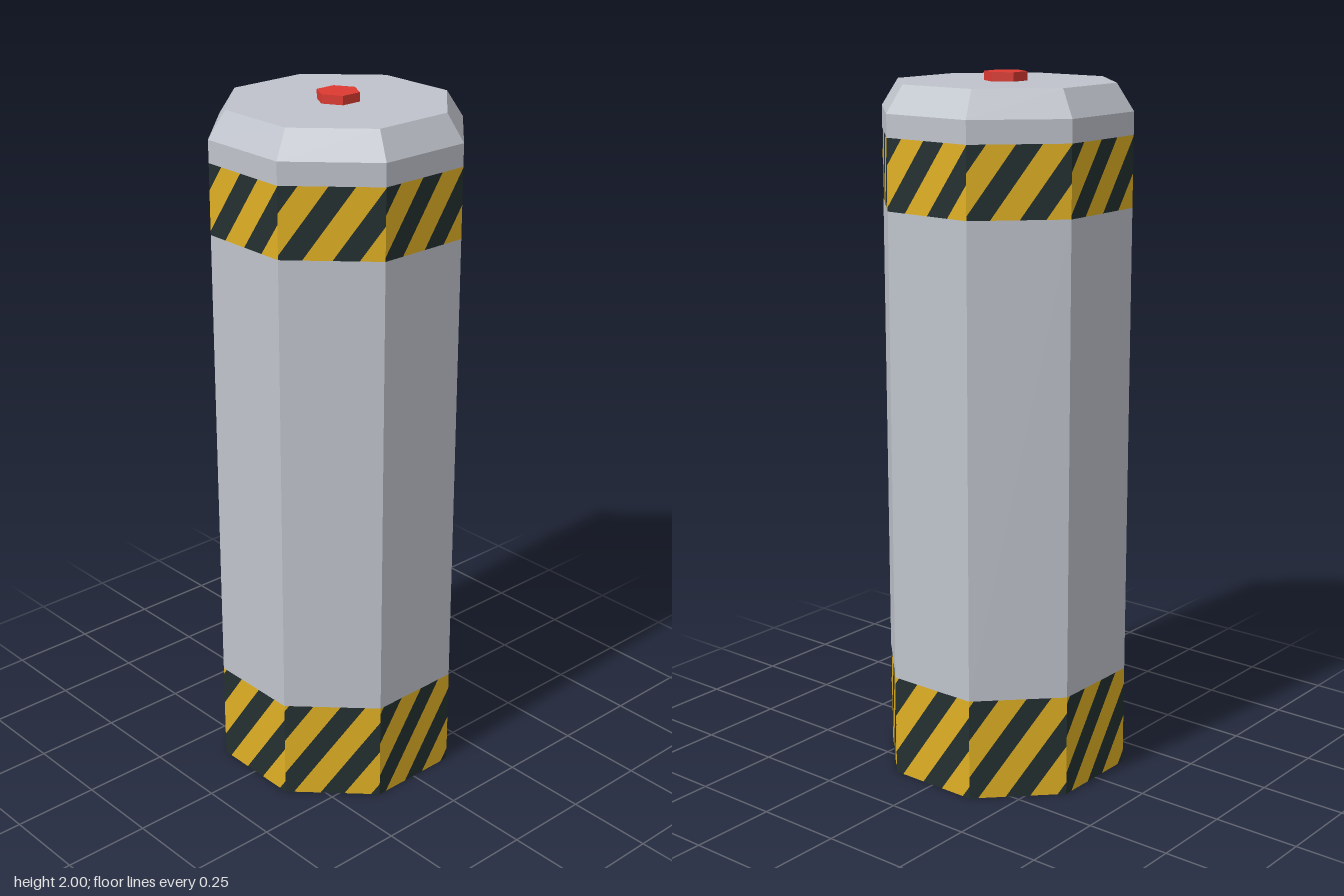
import * as THREE from 'three';

const SIDES = 8;
const APOTHEM = 0.333;
const HALF = APOTHEM * Math.tan(Math.PI / SIDES); // half width of one wall
const RADIUS = APOTHEM / Math.cos(Math.PI / SIDES);

function material(name, color, side = THREE.DoubleSide) {
  const m = new THREE.MeshStandardMaterial({ color, side, flatShading: true });
  m.name = name;
  return m;
}

// Open eight-sided ring between two heights
function ring(name, mat, y0, y1, r0, r1) {
  const g = new THREE.CylinderGeometry(r1, r0, y1 - y0, SIDES, 1, true);
  g.rotateY(Math.PI / SIDES);
  g.translate(0, (y0 + y1) / 2, 0);
  const mesh = new THREE.Mesh(g, mat);
  mesh.name = name;
  return mesh;
}

// Keep the part of a convex polygon where sign * x <= limit
function clipX(poly, sign, limit) {
  const out = [];
  poly.forEach((a, i) => {
    const b = poly[(i + 1) % poly.length];
    const da = limit - sign * a[0], db = limit - sign * b[0];
    if (da >= 0) out.push(a);
    if (da * db < 0) {
      const t = da / (da - db);
      out.push([a[0] + (b[0] - a[0]) * t, a[1] + (b[1] - a[1]) * t]);
    }
  });
  return out;
}

// Hazard band: every wall is divided into slanted yellow and black strips
function hazardBand(name, yellow, black, y0, y1, firstCentre) {
  const period = 0.148, darkWidth = 0.07;
  const run = (y1 - y0) * 0.7;
  const tris = [[], []]; // yellow, black
  for (let k = -5; k <= 5; k++) {
    const start = firstCentre + k * period - darkWidth / 2;
    const spans = [[start + darkWidth, start + period], [start, start + darkWidth]];
    spans.forEach(([a, b], c) => {
      let poly = [[a, y0], [b, y0], [b + run, y1], [a + run, y1]];
      poly = clipX(clipX(poly, 1, HALF), -1, HALF);
      for (let i = 1; i + 1 < poly.length; i++) {
        for (const p of [poly[0], poly[i], poly[i + 1]]) tris[c].push(p[0], p[1], APOTHEM);
      }
    });
  }
  const group = new THREE.Group();
  group.name = name;
  [['yellowStripes', yellow], ['blackStripes', black]].forEach(([part, mat], c) => {
    const g = new THREE.BufferGeometry();
    g.setAttribute('position', new THREE.Float32BufferAttribute(tris[c], 3));
    g.computeVertexNormals();
    for (let i = 0; i < SIDES; i++) {
      const wall = new THREE.Mesh(g, mat);
      wall.name = part;
      wall.rotation.y = (i * Math.PI * 2) / SIDES;
      group.add(wall);
    }
  });
  return group;
}

export function createModel() {
  const grey = material('grey metal', 0xbfc3cb);
  const yellow = material('hazard yellow', 0xdfb024);
  const black = material('hazard black', 0x243030);
  const red = material('red button', 0xdc3a31, THREE.FrontSide);

  const model = new THREE.Group();
  model.name = 'bollard';

  // Hollow post, open at the bottom
  const topRadius = 0.288 / Math.cos(Math.PI / SIDES);
  model.add(
    hazardBand('lowerHazardBand', yellow, black, 0, 0.295, 0),
    ring('post', grey, 0.295, 1.64, RADIUS, RADIUS),
    hazardBand('upperHazardBand', yellow, black, 1.64, 1.837, 0.037),
    ring('collar', grey, 1.837, 1.9, RADIUS, RADIUS),
    ring('bevel', grey, 1.9, 1.975, RADIUS, topRadius)
  );

  // Flat lid
  const lid = new THREE.Mesh(new THREE.CircleGeometry(topRadius, SIDES, Math.PI / SIDES), grey);
  lid.name = 'lid';
  lid.rotation.x = -Math.PI / 2;
  lid.position.y = 1.975;
  model.add(lid);

  // Six-sided button
  const button = new THREE.Mesh(new THREE.CylinderGeometry(0.06, 0.06, 0.025, 6), red);
  button.name = 'button';
  button.rotation.y = Math.PI / 2;
  button.position.y = 1.9875;
  model.add(button);

  return model;
}
